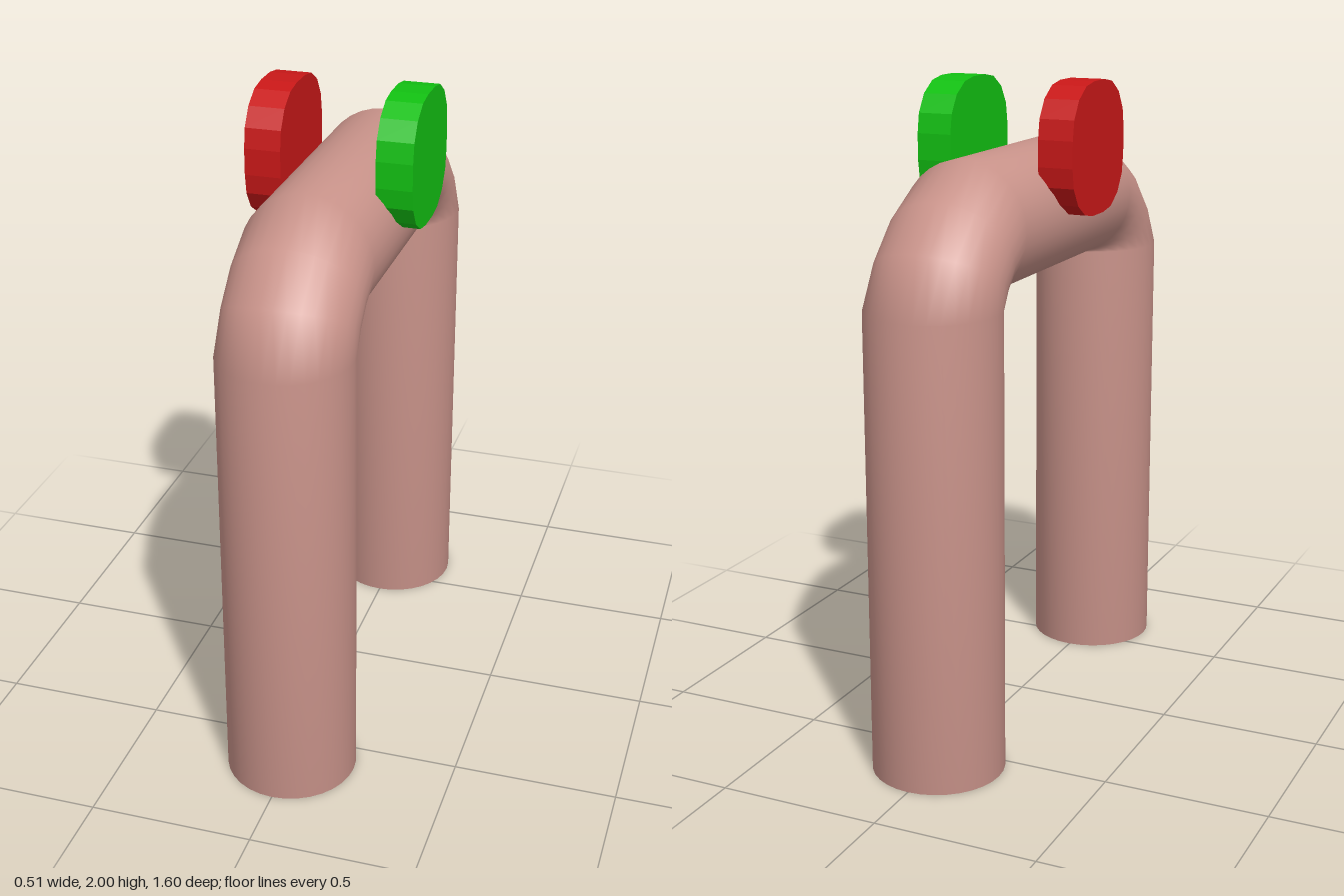
import * as THREE from 'three';

const R = 0.2; // tube radius
const SIDES = 32;

// Cross-sections along the arch: centre (z, y), outward direction, in-plane half width
function archSections() {
  const sections = [{ z: 0.6, y: 0, a: 0, r: R }];
  for (const side of [1, -1]) {
    const bend = [];
    for (let i = 0; i <= 3; i++) {
      // each bend pivots on the sharp inner corner, pinched on its middle rings
      const t = (i * Math.PI) / 6;
      const r = i === 0 || i === 3 ? R : R * Math.cos(Math.PI / 6);
      bend.push({
        z: side * (0.4 + r * Math.cos(t)),
        y: 1.4 + r * Math.sin(t),
        a: side > 0 ? t : Math.PI - t,
        r,
      });
    }
    sections.push(...(side > 0 ? bend : bend.reverse()));
  }
  sections.push({ z: -0.6, y: 0, a: Math.PI, r: R });
  return sections;
}

// Lofted tube with smooth, shared normals and closed feet
function archGeometry() {
  const pos = [], index = [];
  const sections = archSections();
  for (const s of sections) {
    for (let j = 0; j < SIDES; j++) {
      const b = (j / SIDES) * Math.PI * 2;
      const d = s.r * Math.cos(b);
      pos.push(R * Math.sin(b), s.y + d * Math.sin(s.a), s.z + d * Math.cos(s.a));
    }
  }
  const last = sections.length - 1;
  for (let i = 0; i < last; i++) {
    for (let j = 0; j < SIDES; j++) {
      const k = (j + 1) % SIDES;
      const a = i * SIDES + j, b = i * SIDES + k;
      index.push(a, b, a + SIDES, b, b + SIDES, a + SIDES);
    }
  }
  // foot caps
  const c0 = pos.length / 3;
  pos.push(0, 0, 0.6, 0, 0, -0.6);
  for (let j = 0; j < SIDES; j++) {
    const k = (j + 1) % SIDES;
    index.push(c0, k, j, c0 + 1, last * SIDES + j, last * SIDES + k);
  }
  const g = new THREE.BufferGeometry();
  g.setAttribute('position', new THREE.Float32BufferAttribute(pos, 3));
  g.setIndex(index);
  g.computeVertexNormals();
  return g;
}

// Rounded-square disc, its thickness along x
function discGeometry() {
  const corner = [[0.2, 0.04], [0.19, 0.1], [0.155, 0.155], [0.1, 0.19], [0.04, 0.2]];
  const pts = [];
  for (let q = 0; q < 4; q++) {
    for (const [x, y] of corner) {
      pts.push(new THREE.Vector2(x, y).rotateAround(new THREE.Vector2(), (q * Math.PI) / 2));
    }
  }
  const depth = 0.11;
  const g = new THREE.ExtrudeGeometry(new THREE.Shape(pts), { depth, bevelEnabled: false });
  g.translate(0, 0, -depth / 2);
  g.rotateY(Math.PI / 2);
  return g;
}

export function createModel() {
  const model = new THREE.Group();
  model.name = 'archWithDiscs';

  const arch = new THREE.Mesh(
    archGeometry(),
    new THREE.MeshStandardMaterial({ color: 0xc9938a, side: THREE.DoubleSide })
  );
  arch.name = 'arch';
  model.add(arch);

  // coloured discs on either side of the crossbar
  const disc = discGeometry();
  for (const [name, side, color] of [['leftDisc', 1, 0x12c012], ['rightDisc', -1, 0xc91818]]) {
    const mesh = new THREE.Mesh(disc, new THREE.MeshStandardMaterial({ color }));
    mesh.name = name;
    mesh.position.set(side * 0.198, 1.8, 0);
    model.add(mesh);
  }
  return model;
}
